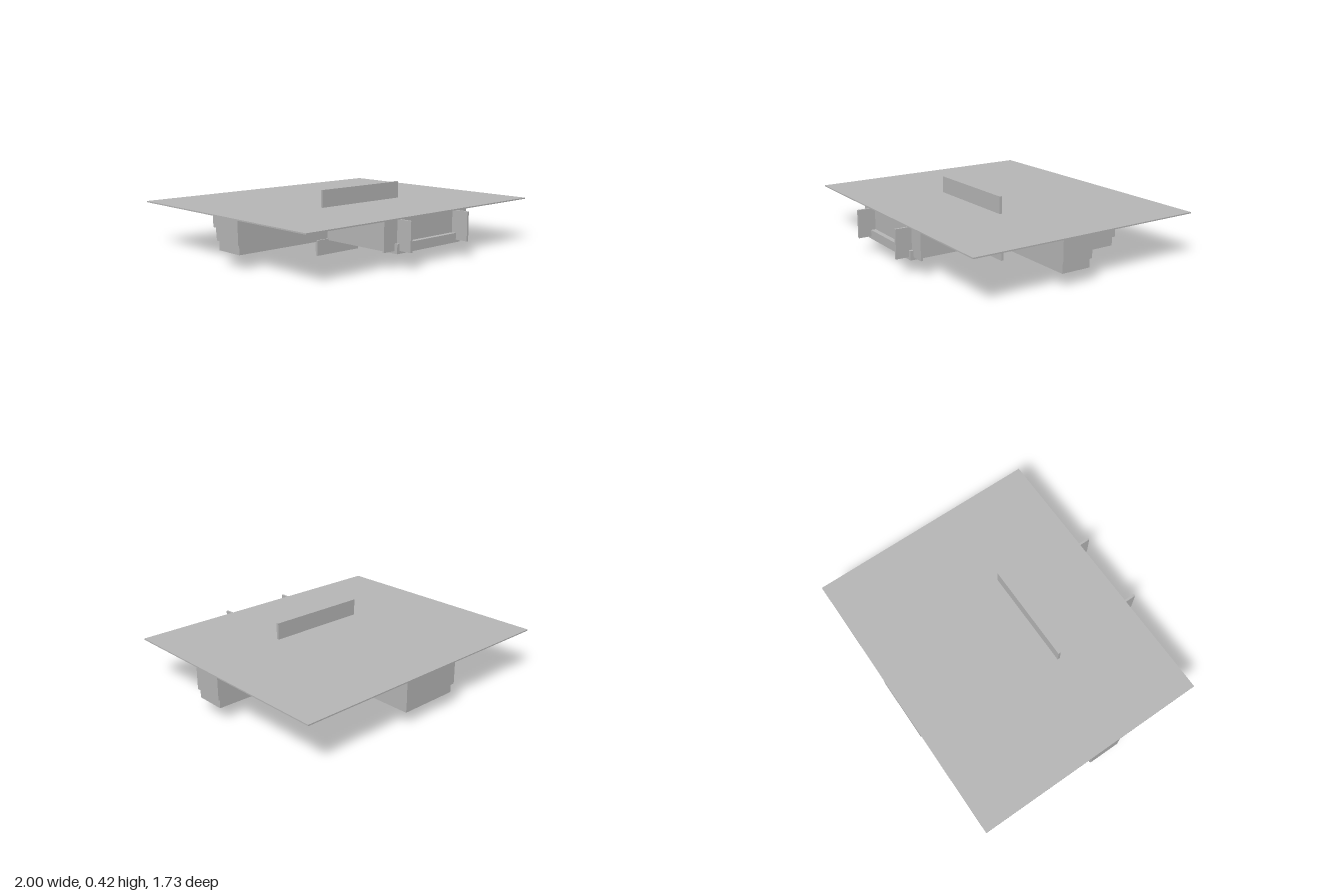
import * as THREE from 'three';

export function createModel() {
  const group = new THREE.Group();
  const grey = new THREE.MeshStandardMaterial({ color: 0xb6b6b6 });
  grey.name = 'plain grey';

  function add(name, geometry) {
    const mesh = new THREE.Mesh(geometry, grey);
    mesh.name = name;
    group.add(mesh);
  }

  // box given by its limits on each axis
  function slab(name, [x0, x1], [y0, y1], [z0, z1]) {
    const g = new THREE.BoxGeometry(x1 - x0, y1 - y0, z1 - z0);
    g.translate((x0 + x1) / 2, (y0 + y1) / 2, (z0 + z1) / 2);
    add(name, g);
  }

  // storey extruded from half a floor plan of [x, z] points, mirrored across x = 0
  function storey(name, half, y0, y1, hole) {
    const all = [...half, ...half.map(([x, z]) => [-x, z]).reverse()];
    const toPoints = (list) => list.map(([x, z]) => new THREE.Vector2(x, -z));
    const shape = new THREE.Shape(toPoints(all));
    if (hole) shape.holes.push(new THREE.Path(toPoints(hole)));
    const g = new THREE.ExtrudeGeometry(shape, { depth: y1 - y0, bevelEnabled: false });
    g.rotateX(-Math.PI / 2);
    g.translate(0, y0, 0);
    add(name, g);
  }

  // stepped plan: front room, wings, shoulders with a narrow slot, rear room
  const plan = (d, front) => [
    [0.29, front], [0.29, 0.172 - d / 2], [1 - d, 0.172 - d / 2], [1 - d, -0.045 + d / 2],
    [0.75 - d, -0.045 + d / 2], [0.75 - d, -0.452 + d], [0.35, -0.452 + d], [0.35, -0.05],
    [0.32, -0.05], [0.32, -0.452 + d], [0.22 - d, -0.452 + d], [0.22 - d, -0.863 + d],
  ];
  storey('walls', plan(0, 0.745), 0.15, 0.298);
  storey('plinth', plan(0.013, 0.778), 0.09, 0.15,
    [[-0.21, -0.27], [0.21, -0.27], [0.21, -0.07], [-0.21, -0.07]]);

  slab('roof', [-1, 1], [0.298, 0.306], [-0.865, 0.783]);
  slab('roofPanel', [-0.34, 0.36], [0.306, 0.42], [0.157, 0.175]);
  slab('header', [-0.387, 0.387], [0.23, 0.298], [0.165, 0.178]);

  // plates below the floor
  slab('rightFootPlate', [-0.385, -0.025], [0, 0.1], [0.157, 0.175]);
  slab('leftFootPlate', [0.02, 0.38], [0, 0.1], [0.157, 0.175]);

  // angled screens beside the front room
  for (const s of [-1, 1]) {
    const span = (a, b) => [Math.min(s * a, s * b), Math.max(s * a, s * b)];
    const side = s < 0 ? 'right' : 'left';
    slab(side + 'FrontScreen', span(0.255, 0.38), [0.107, 0.296], [0.744, 0.757]);
    slab(side + 'FrontFin', span(0.254, 0.269), [0.107, 0.296], [0.757, 0.865]);
  }
  return group;
}
